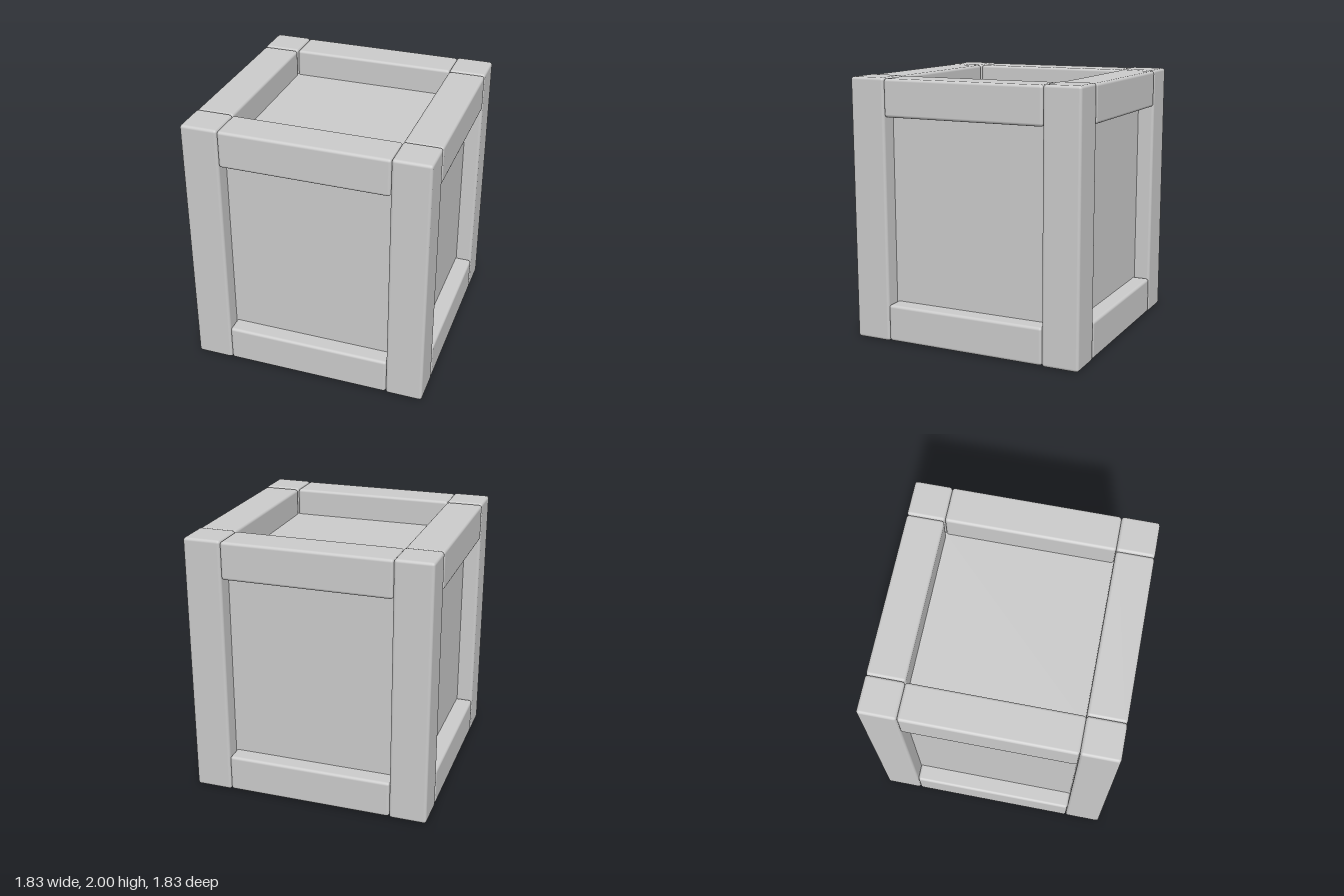
import * as THREE from 'three';
import { RoundedBoxGeometry } from 'three/addons/geometries/RoundedBoxGeometry.js';

const HALF = 0.915;    // half width of the crate
const BEAM = 0.283;    // beam thickness
const BEVEL = 0.022;   // rounding of beam edges
const CORE = 1.575;    // size of the recessed inner box

export function createModel() {
  const crate = new THREE.Group();
  crate.name = 'crate';
  const material = new THREE.MeshStandardMaterial({ color: 0xcccccc });

  function add(name, geometry, x, y, z, parent = crate) {
    const mesh = new THREE.Mesh(geometry, material);
    mesh.name = name;
    mesh.position.set(x, y, z);
    parent.add(mesh);
    return mesh;
  }

  // Recessed panels: one plain box inside the frame
  add('panels', new THREE.BoxGeometry(CORE, CORE, CORE), 0, 1, 0);

  // Upright corner posts
  const centre = HALF - BEAM / 2;
  const post = new RoundedBoxGeometry(BEAM, 2, BEAM, 2, BEVEL);
  for (const x of [-1, 1]) {
    for (const z of [-1, 1]) add('cornerPost', post, x * centre, 1, z * centre);
  }

  // Top and bottom rails between the posts on all four sides
  const length = 2 * (HALF - BEAM);
  const rail = new RoundedBoxGeometry(length, BEAM, BEAM, 2, BEVEL);
  const railY = 0.995 - BEAM / 2;
  for (let side = 0; side < 4; side++) {
    const frame = new THREE.Group();
    frame.name = 'sideRails';
    frame.rotation.y = side * Math.PI / 2;
    add('topRail', rail, 0, 1 + railY, centre, frame);
    add('bottomRail', rail, 0, 1 - railY, centre, frame);
    crate.add(frame);
  }
  return crate;
}
